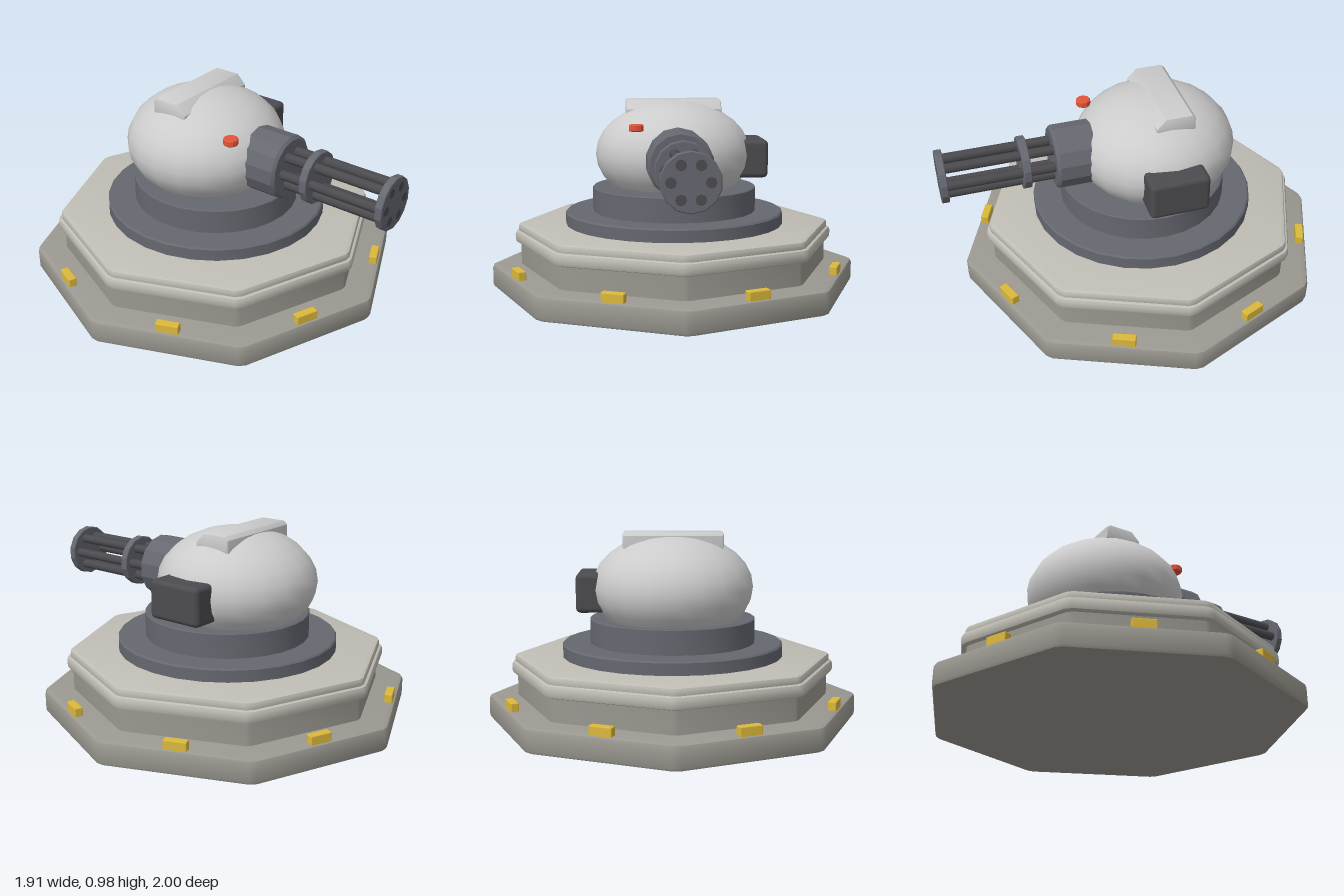
import * as THREE from 'three';
import { toCreasedNormals } from 'three/addons/utils/BufferGeometryUtils.js';
import { RoundedBoxGeometry } from 'three/addons/geometries/RoundedBoxGeometry.js';

const BASE_Z = -0.04;
const GUN_Y = 0.695;

const mat = (color) => new THREE.MeshStandardMaterial({ color });
const stone = mat(0x9a9890), plate = mat(0xbfbdb4), steel = mat(0x666870);
const dark = mat(0x4c4c50), shell = mat(0xcccccc), yellow = mat(0xdcb93c), red = mat(0xe2553a);

export function createModel() {
  const model = new THREE.Group();

  const add = (name, geometry, material, x = 0, y = 0, z = 0, parent = model) => {
    const mesh = new THREE.Mesh(geometry, material);
    mesh.name = name;
    mesh.position.set(x, y, z);
    parent.add(mesh);
    return mesh;
  };

  // Octagonal slab with clipped corners and bevelled rims
  const slab = (name, r, y0, y1, bevel, material) => {
    const pts = [];
    const ri = r - bevel, clip = 0.025;
    const corner = (k) => new THREE.Vector2(Math.cos(k * Math.PI / 4), Math.sin(k * Math.PI / 4)).multiplyScalar(ri);
    for (let k = 0; k < 8; k++) {
      const c = corner(k);
      pts.push(c.clone().lerp(corner(k - 1), clip), c.clone().lerp(corner(k + 1), clip));
    }
    const g = new THREE.ExtrudeGeometry(new THREE.Shape(pts), {
      depth: y1 - y0 - 2 * bevel, bevelEnabled: bevel > 0,
      bevelSize: bevel, bevelThickness: bevel, bevelSegments: 2,
    });
    g.translate(0, 0, bevel).rotateX(-Math.PI / 2);
    add(name, toCreasedNormals(g, 0.6), material, 0, y0, BASE_Z);
  };
  slab('basePlate', 0.963, 0, 0.122, 0.018, stone);
  slab('baseStep', 0.812, 0.11, 0.25, 0, stone);
  slab('stepRim', 0.84, 0.237, 0.302, 0.018, plate);
  slab('deck', 0.822, 0.285, 0.338, 0.014, plate);

  // Yellow marker blocks, one on the middle of each side
  for (let k = 0; k < 8; k++) {
    const a = (k + 0.5) * Math.PI / 4;
    const block = add('markerBlock', new RoundedBoxGeometry(0.115, 0.055, 0.042, 1, 0.006), yellow,
      0.857 * Math.sin(a), 0.138, BASE_Z + 0.857 * Math.cos(a));
    block.rotation.y = a;
  }

  // Cylinder with small chamfers, standing on y = 0
  const drum = (r, h, sides, c = 0.008) => {
    const profile = [[0, 0], [r - c, 0], [r, c], [r, h - c], [r - c, h], [0, h]];
    const g = new THREE.LatheGeometry(profile.map(([x, y]) => new THREE.Vector2(x, y)), sides);
    return toCreasedNormals(g, 0.4);
  };
  add('turntable', drum(0.57, 0.075, 28), steel, 0, 0.33, BASE_Z);
  add('turretRing', drum(0.427, 0.135, 28, 0.004), steel, 0, 0.395, BASE_Z);

  // Flattened dome
  const dome = new THREE.SphereGeometry(1, 20, 14);
  dome.scale(0.41, 0.28, 0.411);
  add('dome', dome, shell, 0, 0.693, -0.104);

  // Roof hatch with sloping front
  const hatchShape = new THREE.Shape([[0.048, 0.905], [0.048, 0.925], [0.09, 0.968], [0.215, 0.968], [0.228, 0.955], [0.228, 0.905]]
    .map(([x, y]) => new THREE.Vector2(x, y)));
  const hatch = new THREE.ExtrudeGeometry(hatchShape, {
    depth: 0.48, bevelSize: 0.01, bevelThickness: 0.01, bevelSegments: 2,
  });
  hatch.translate(0, 0, -0.24).rotateY(Math.PI / 2);
  add('roofHatch', toCreasedNormals(hatch, 0.6), shell);

  // Side pod and red sensor
  add('sidePod', new RoundedBoxGeometry(0.175, 0.197, 0.3, 2, 0.025), dark, 0.3975, 0.675, -0.09);
  add('sensor', drum(0.038, 0.034, 10, 0.005), red, -0.205, 0.838, 0.21);

  // Rotary gun, built along y and turned to point forward
  const gun = new THREE.Group();
  gun.name = 'rotaryGun';
  gun.position.y = GUN_Y;
  gun.rotation.x = Math.PI / 2;
  model.add(gun);
  add('gunHousing', drum(0.163, 0.23, 14, 0.014), steel, 0, 0.2, 0, gun);
  add('barrelClamp', drum(0.134, 0.04, 14, 0.004), steel, 0, 0.555, 0, gun);
  add('muzzleRing', drum(0.134, 0.037, 14, 0.004), steel, 0, 0.962, 0, gun);
  for (let k = 0; k < 6; k++) {
    const a = k * Math.PI / 3;
    add('barrel', new THREE.CylinderGeometry(0.025, 0.025, 0.6, 8), dark,
      0.085 * Math.cos(a), 0.7, 0.085 * Math.sin(a), gun);
  }
  return model;
}
